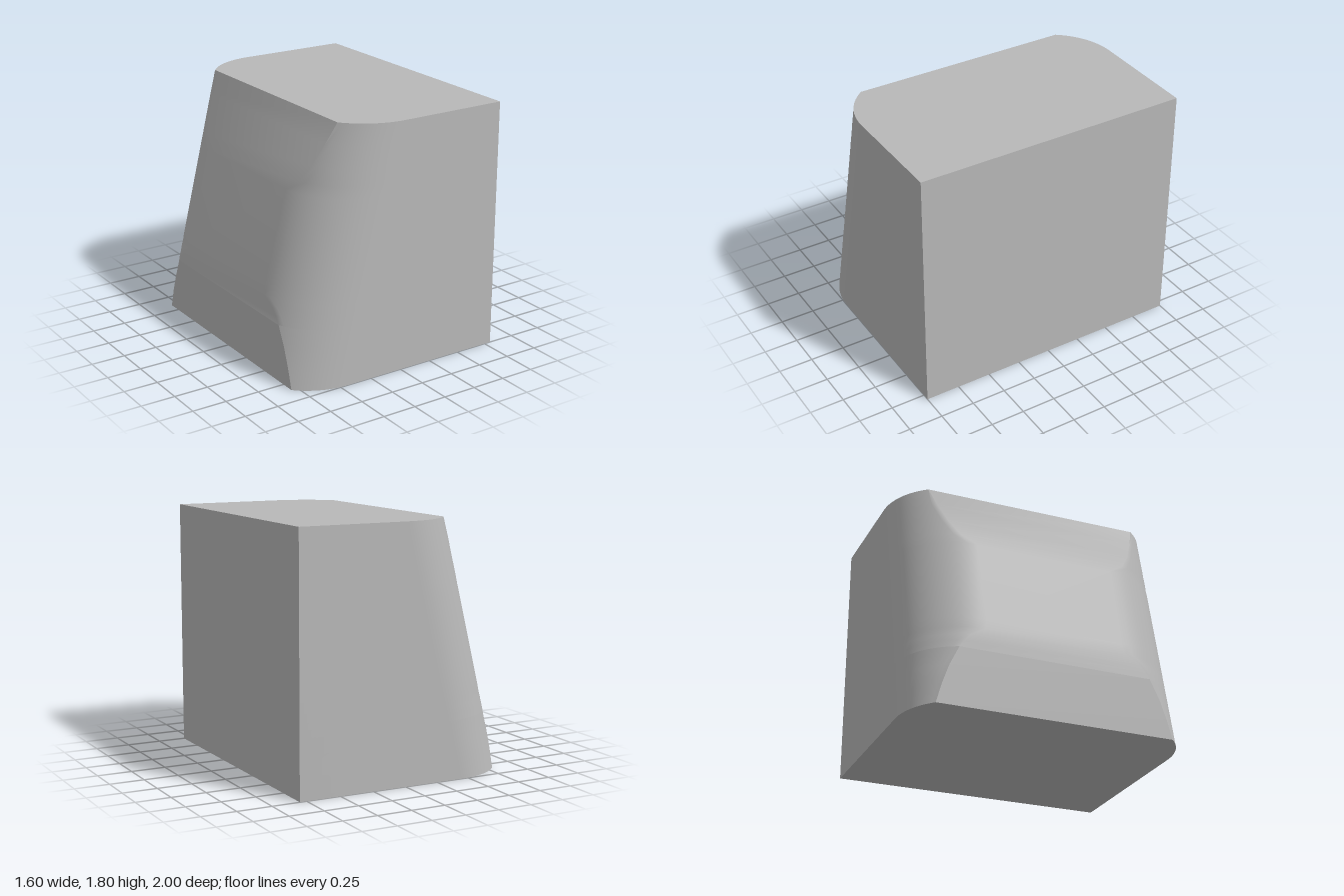
import * as THREE from 'three';
import { toCreasedNormals } from 'three/addons/utils/BufferGeometryUtils.js';

const R = 0.5; // corner radius
const STEPS = 14; // segments per rounded corner

// Outline at height y: the rounded corners lean back, the nose is cut by two planes
function outline(y) {
  const cx = -0.443 + 0.246 * y;
  const noseX = Math.max(-0.8, cx - R, -0.4 + (y - 1.8) * 0.446);
  const end = Math.asin(Math.min(1, (cx - noseX) / R));
  const corner = [];
  for (let i = 0; i <= STEPS; i++) {
    const a = (end * i) / STEPS;
    corner.push([cx - R * Math.sin(a), R + R * Math.cos(a)]);
  }
  return [
    [0.8, 1], [0.8, -1],
    ...corner.map(([x, z]) => [x, -z]),
    ...corner.reverse(),
  ].map(([x, z]) => new THREE.Vector3(x, y, z));
}

// Skin stacked outlines, with optional flat caps
function loft(heights, capBottom, capTop, crease) {
  const rings = heights.map(outline);
  const pos = [];
  const tri = (...pts) => pts.forEach((p) => pos.push(p.x, p.y, p.z));
  const n = rings[0].length;
  for (let r = 0; r < rings.length - 1; r++) {
    for (let i = 0; i < n; i++) {
      const j = (i + 1) % n;
      const [lo, hi] = [rings[r], rings[r + 1]];
      tri(lo[i], lo[j], hi[j]);
      tri(lo[i], hi[j], hi[i]);
    }
  }
  const top = rings[rings.length - 1];
  for (let i = 1; i < n - 1; i++) {
    if (capBottom) tri(rings[0][0], rings[0][i + 1], rings[0][i]);
    if (capTop) tri(top[0], top[i], top[i + 1]);
  }
  const geo = new THREE.BufferGeometry();
  geo.setAttribute('position', new THREE.Float32BufferAttribute(pos, 3));
  return toCreasedNormals(geo, crease);
}

export function createModel() {
  const group = new THREE.Group();
  group.name = 'slantedNoseBlock';
  const grey = new THREE.MeshStandardMaterial({ color: 0xb8b8b8 });
  grey.name = 'grey';

  const add = (name, geo) => {
    const mesh = new THREE.Mesh(geo, grey);
    mesh.name = name;
    group.add(mesh);
  };

  // Lower body with an upright nose and sharp corner edges
  add('lowerBody', loft([0, 0.14, 0.28, 0.42], true, false, 0.3));
  // Upper body with the sloped nose blending into the corners
  add('upperBody', loft([0.42, 0.47, 0.52, 0.58, 0.66, 1.3, 1.38, 1.5, 1.65, 1.8], false, true, 0.68));

  return group;
}
